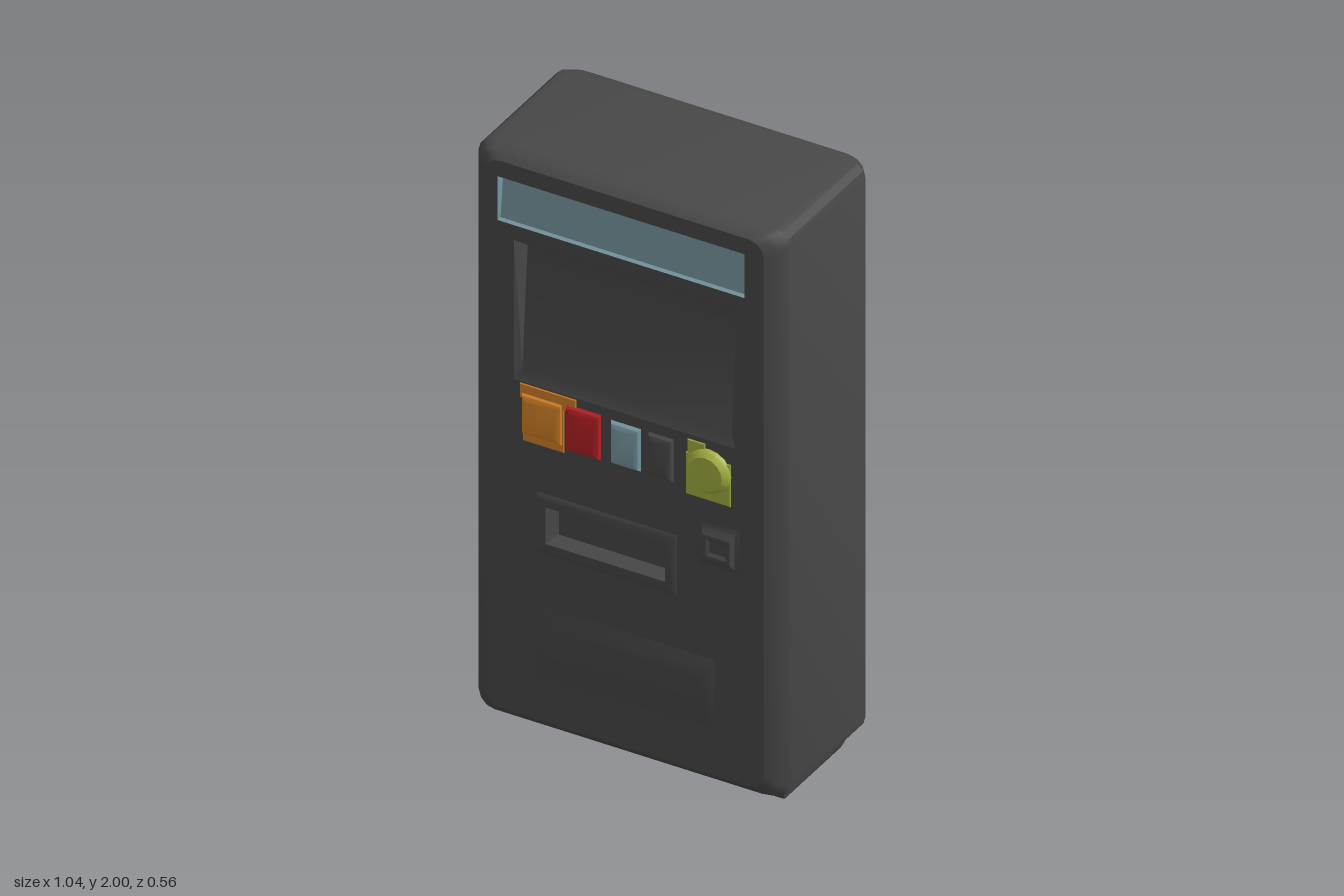
import * as THREE from 'three';
import { toCreasedNormals } from 'three/addons/utils/BufferGeometryUtils.js';

const FRONT = 0.26, BACK = -0.28;

function material(name, color) {
  const m = new THREE.MeshStandardMaterial({ color });
  m.name = name;
  return m;
}

// Joins loops of equal length into a skin; each loop runs counter-clockwise seen from +z
function skin(loops, cap = false) {
  const pos = [];
  const tri = (...pts) => pts.forEach(p => pos.push(...p));
  for (let k = 0; k < loops.length - 1; k++) {
    const a = loops[k], b = loops[k + 1], n = a.length;
    for (let i = 0; i < n; i++) {
      const j = (i + 1) % n;
      tri(a[i], a[j], b[j]);
      tri(a[i], b[j], b[i]);
    }
  }
  if (cap) {
    const e = loops[loops.length - 1];
    for (let i = 1; i < e.length - 1; i++) tri(e[0], e[i], e[i + 1]);
  }
  const g = new THREE.BufferGeometry();
  g.setAttribute('position', new THREE.Float32BufferAttribute(pos, 3));
  return toCreasedNormals(g, 0.5);
}

// Rectangle loop on the front: x range, y range, z at the bottom and top edge
const rect = (x0, x1, y0, y1, zb, zt = zb) =>
  [[x0, y0, zb], [x1, y0, zb], [x1, y1, zt], [x0, y1, zt]];

// Cabinet outline with rounded corners, shrunk by a factor t of the edge bevel
function outline(t) {
  const w = 0.52 - 0.055 * t, top = 2 - 0.025 * t, bottom = 0.06 + 0.045 * t, r = 0.05;
  const pts = [];
  [[1, top - r], [-1, top - r], [-1, bottom + r], [1, bottom + r]].forEach(([s, cy], q) => {
    for (let i = 0; i <= 3; i++) {
      const a = (q + i / 3) * Math.PI / 2;
      pts.push([s * (w - r) + r * Math.cos(a), cy + r * Math.sin(a)]);
    }
  });
  return pts;
}

export function createModel() {
  const root = new THREE.Group();
  root.name = 'vendingMachine';
  const dark = material('charcoal', 0x484848);
  const blue = material('paleBlue', 0x7899a2);
  const orange = material('orange', 0xd48128);
  const red = material('red', 0xb52024);
  const green = material('oliveGreen', 0xa5b040);

  const add = (name, geometry, mat, parent = root) => {
    const m = new THREE.Mesh(geometry, mat);
    m.name = name;
    parent.add(m);
    return m;
  };

  // Cabinet sides with bevelled front and back edges
  const bevel = [[0, 0], [0.4, 0.6], [1, 1]];
  const ring = (t, z) => outline(t).map(([x, y]) => [x, y, z]);
  const rings = [
    ...bevel.slice().reverse().map(([t, d]) => ring(t, BACK + 0.055 * (1 - d))
      ).map((_, i) => { const [t, d] = bevel[2 - i]; return ring(t, BACK + 0.055 * (1 - d)); }),
    ...bevel.map(([t, d]) => ring(t, FRONT - 0.055 * (1 - d))),
  ];
  // The back bevel narrows towards the back plane
  bevel.forEach(([t, d], i) => { rings[2 - i] = ring(t, BACK + 0.055 * (1 - d)); });
  add('cabinetSides', skin(rings), dark);

  const face = () => new THREE.Shape(outline(1).map(p => new THREE.Vector2(...p)));
  add('cabinetBack', new THREE.ShapeGeometry(face()).rotateY(Math.PI).translate(0, 0, BACK), dark);

  // Front face with openings for the sign, the window and the slot
  const sign = [-0.425, 0.4, 1.77, 1.92];
  const win = [-0.37, 0.37, 1.245, 1.72];
  const slot = [-0.295, 0.175, 0.68, 0.885];
  const front = face();
  for (const o of [sign, win, slot]) {
    front.holes.push(new THREE.Path(rect(...o, 0).map(p => new THREE.Vector2(p[0], p[1]))));
  }
  add('cabinetFront', new THREE.ShapeGeometry(front).translate(0, 0, FRONT), dark);

  // Rectangular relief: each step is [inset x, inset y, z bottom, z top]
  const relief = (name, [x0, x1, y0, y1], steps, mat, parent) => add(name, skin([
    rect(x0, x1, y0, y1, FRONT),
    ...steps.map(([ix, iy, zb, zt]) => rect(x0 + ix, x1 - ix, y0 + iy, y1 - iy, zb, zt)),
  ], true), mat, parent);

  relief('signPanel', sign, [[0.005, 0.006, 0.25, 0.235]], blue);
  relief('windowRecess', win, [[0.02, 0.035, 0.245, 0.215]], dark);
  relief('dispenserSlot', slot,
    [[0.015, 0.015, 0.268], [0.035, 0.04, 0.268], [0.055, 0.055, 0.225]], dark);
  relief('collectionTray', [-0.3, 0.3, 0.26, 0.5],
    [[0.015, 0.025, 0.266], [0.045, 0.07, 0.274]], dark);
  relief('coinUnit', [0.245, 0.385, 0.815, 0.965],
    [[0.015, 0.015, 0.264], [0.025, 0.035, 0.277], [0.035, 0.045, 0.277], [0.045, 0.055, 0.27]], dark);

  // Selection buttons on a row
  const buttons = new THREE.Group();
  buttons.name = 'buttons';
  root.add(buttons);
  const thin = [[0.003, 0.003, 0.263]];
  relief('orangePlateTop', [-0.35, -0.16, 1.19, 1.24], thin, orange, buttons);
  relief('orangePlate', [-0.34, -0.2, 1.045, 1.215], thin, orange, buttons);
  const raised = [[0.005, 0.006, 0.27], [0.018, 0.02, 0.276]];
  relief('orangeButton', [-0.342, -0.205, 1.07, 1.21], raised, orange, buttons);
  relief('redButton', [-0.195, -0.078, 1.06, 1.215], raised, red, buttons);
  relief('blueButton', [-0.045, 0.055, 1.065, 1.21], raised, blue, buttons);
  relief('darkButton', [0.08, 0.165, 1.065, 1.21], raised, dark, buttons);

  // Round knob on its plate
  relief('knobPlate', [0.205, 0.355, 1.04, 1.185], thin, green, buttons);
  relief('knobPlateTop', [0.21, 0.27, 1.18, 1.23], thin, green, buttons);
  const circle = (r, z) => Array.from({ length: 16 }, (_, i) => {
    const a = i / 16 * Math.PI * 2;
    return [0.283 + r * Math.cos(a), 1.142 + r * Math.sin(a), z];
  });
  add('knob', skin([circle(0.074, FRONT), circle(0.07, 0.272), circle(0.056, 0.285)], true), green, buttons);

  // Long, softly tapered feet
  const footShape = new THREE.Shape();
  footShape.moveTo(-0.045, 0);
  footShape.lineTo(0.045, 0);
  footShape.quadraticCurveTo(0.075, 0.01, 0.075, 0.045);
  footShape.lineTo(0.06, 0.1);
  footShape.lineTo(-0.06, 0.1);
  footShape.lineTo(-0.075, 0.045);
  footShape.quadraticCurveTo(-0.075, 0.01, -0.045, 0);
  for (const s of [-1, 1]) {
    const g = new THREE.ExtrudeGeometry(footShape, { depth: 0.36, bevelEnabled: false, curveSegments: 4 });
    g.translate(0, 0, -0.195);
    // Ends slope inwards towards the ground
    const p = g.attributes.position;
    for (let i = 0; i < p.count; i++) {
      const z = p.getZ(i), y = p.getY(i);
      p.setZ(i, z - Math.sign(z) * Math.max(0, 0.04 - y));
    }
    add(s > 0 ? 'leftFoot' : 'rightFoot', toCreasedNormals(g, 0.6), dark).position.x = s * 0.4;
  }
  return root;
}
